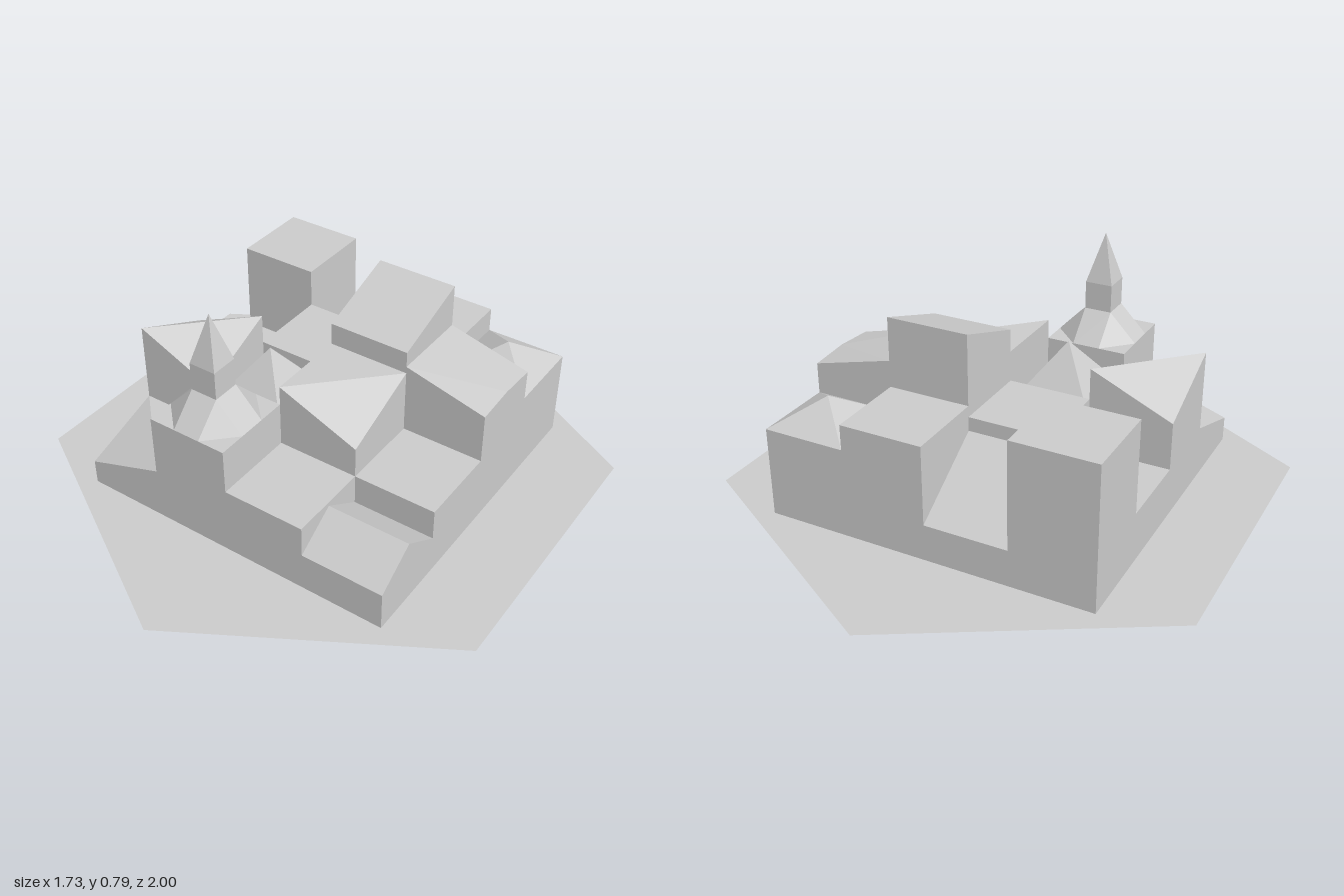
import * as THREE from 'three';

const S = 0.293; // side of one town block
const material = new THREE.MeshStandardMaterial({ color: 0xcccccc, flatShading: true, side: THREE.DoubleSide });

// Flat-shaded mesh from points and convex faces (fan triangulated)
function faceted(name, points, faces) {
  const pos = [];
  for (const f of faces) {
    for (let i = 1; i < f.length - 1; i++) pos.push(...points[f[0]], ...points[f[i]], ...points[f[i + 1]]);
  }
  const g = new THREE.BufferGeometry();
  g.setAttribute('position', new THREE.Float32BufferAttribute(pos, 3));
  g.computeVertexNormals();
  const mesh = new THREE.Mesh(g, material);
  mesh.name = name;
  return mesh;
}

// Roof faces: points 4-7 are the wall tops (back left, front left, front right, back right), 8+ are extras
const FLAT = [[4, 5, 6, 7]];
const RIDGE = [[5, 7, 4], [5, 6, 7]];           // fold from front left to back right
const PYRAMID = [[4, 5, 8], [5, 6, 8], [6, 7, 8], [7, 4, 8]];
const GABLE = [[5, 6, 9, 8], [7, 4, 8, 9], [4, 5, 8], [6, 7, 9]];

// House on grid cell (col, row): open-bottomed walls plus a roof; extras are [u, y, v] within the cell
function house(name, col, row, heights, roof = FLAT, extras = []) {
  const at = (u, y, v) => [(col - 2 + u) * S, y, (row - 2 + v) * S];
  const corners = [[0, 0], [0, 1], [1, 1], [1, 0]];
  const h = Array.isArray(heights) ? heights : corners.map(() => heights);
  const points = [
    ...corners.map(([u, v]) => at(u, 0, v)),
    ...corners.map(([u, v], i) => at(u, h[i], v)),
    ...extras.map((e) => at(...e)),
  ];
  const walls = corners.map((_, i) => [i, (i + 1) % 4, 4 + ((i + 1) % 4), 4 + i]);
  return faceted(name, points, [...walls, ...roof]);
}

// Church: block, eight-sided skirt roof, square tower and spire
function church(col, row) {
  const group = new THREE.Group();
  group.name = 'church';
  const a = 0.333, b = 0.667, eave = 0.41, neck = 0.51;
  const rim = [[0, a], [0, b], [a, 1], [b, 1], [1, b], [1, a], [b, 0], [a, 0]].map(([u, v]) => [u, eave, v]);
  const base = [[a, a], [a, b], [b, b], [b, a]];
  const ring = (y) => base.map(([u, v]) => [u, y, v]);
  const extras = [...rim, ...ring(neck), ...ring(0.61), [0.5, 0.785, 0.5]]; // 8-15, 16-19, 20-23, 24
  const faces = [];
  for (let i = 0; i < 4; i++) {
    const j = (i + 1) % 4;
    const r0 = 8 + 2 * i, r1 = r0 + 1, r2 = 8 + ((2 * i + 2) % 8);
    faces.push([r0, r1, 16 + j, 16 + i]);          // straight slope
    faces.push([r1, r2, 16 + j]);                  // corner slope
    faces.push([r1, 4 + j, r2]);                   // flat corner
    faces.push([16 + i, 16 + j, 20 + j, 20 + i]);  // tower wall
    faces.push([20 + i, 20 + j, 24]);              // spire side
  }
  group.add(house('churchBody', col, row, eave, faces, extras));
  return group;
}

export function createModel() {
  const model = new THREE.Group();
  model.name = 'hexTown';

  // Thin hexagonal ground with an opening beneath the houses
  const hex = new THREE.Shape();
  for (let i = 0; i < 6; i++) {
    const t = (i * Math.PI) / 3;
    hex[i ? 'lineTo' : 'moveTo'](Math.sin(t), Math.cos(t));
  }
  hex.closePath();
  const e = 2 * S;
  hex.holes.push(new THREE.Path([[-e, -e], [-e, e], [e, e], [e, -e]].map(([x, y]) => new THREE.Vector2(x, y))));
  const ground = new THREE.Mesh(new THREE.ShapeGeometry(hex).rotateX(-Math.PI / 2), material);
  ground.name = 'groundPlate';
  model.add(ground);

  model.add(
    // Back row
    house('cornerTowerHouse', 0, 0, 0.51),
    house('leanToHouse', 1, 0, [0.13, 0.32, 0.32, 0.13]),
    house('backFlatHouse', 2, 0, 0.41),
    house('pyramidRoofHouse', 3, 0, 0.32, PYRAMID, [[0.5, 0.41, 0.5]]),
    // Second row
    house('lowSideHouse', 0, 1, 0.18),
    house('innerFlatHouse', 1, 1, 0.37),
    house('tallShedHouse', 2, 1, [0.66, 0.56, 0.56, 0.66]),
    house('hippedHouse', 3, 1, [0.505, 0.505, 0.43, 0.43], PYRAMID, [[1, 0.44, 0.5]]),
    // Third row
    house('foldedRoofHouse', 0, 2, [0.35, 0.48, 0.35, 0.48], RIDGE),
    house('steepPyramidHouse', 1, 2, 0.29, PYRAMID, [[0.5, 0.49, 0.5]]),
    house('droppedCornerHouse', 2, 2, [0.48, 0.48, 0.36, 0.48], RIDGE),
    house('rightFlatHouse', 3, 2, 0.25),
    // Front row
    house('frontLowHouse', 0, 3, [0.19, 0.09, 0.19, 0.19], [[4, 5, 6], [4, 6, 7]]),
    church(1, 3),
    house('frontFlatHouse', 2, 3, 0.25),
    house('gableHouse', 3, 3, 0.14, GABLE, [[0, 0.235, 0.5], [1, 0.235, 0.5]]),
  );
  return model;
}
